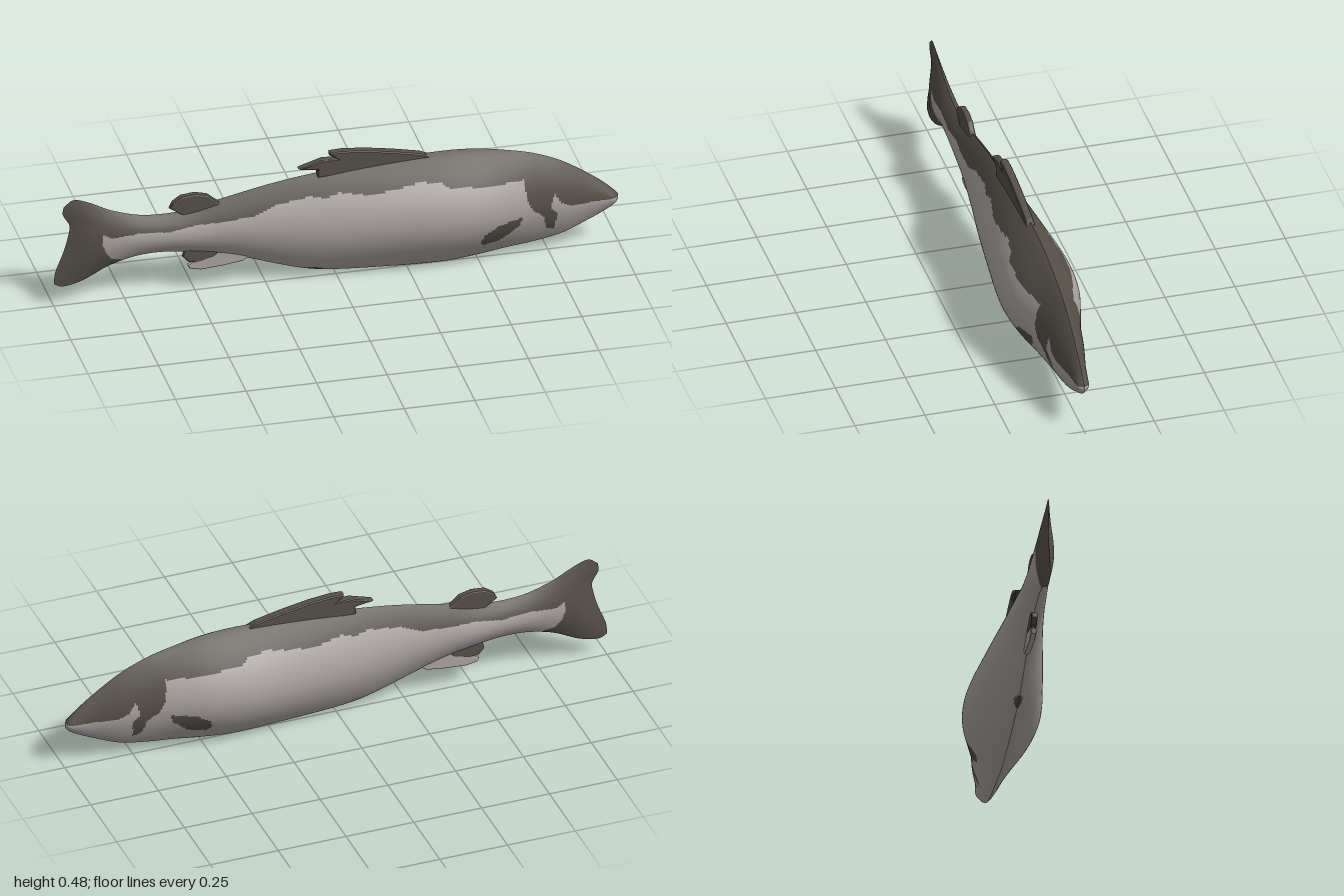
import * as THREE from 'three';

// Smooth curve through [x, value] points, with x rising
function curve(pts) {
  const slope = pts.map((p, i) => {
    const a = pts[Math.max(i - 1, 0)], b = pts[Math.min(i + 1, pts.length - 1)];
    return (b[1] - a[1]) / (b[0] - a[0]);
  });
  return x => {
    let i = 0;
    while (i < pts.length - 2 && x > pts[i + 1][0]) i++;
    const h = pts[i + 1][0] - pts[i][0];
    const t = THREE.MathUtils.clamp((x - pts[i][0]) / h, 0, 1), t2 = t * t, t3 = t2 * t;
    return pts[i][1] * (2 * t3 - 3 * t2 + 1) + pts[i + 1][1] * (3 * t2 - 2 * t3)
      + h * (slope[i] * (t3 - 2 * t2 + t) + slope[i + 1] * (t3 - t2));
  };
}

function inside(poly, x, y) {
  let hit = false;
  for (let i = 0, j = poly.length - 1; i < poly.length; j = i++) {
    const [xi, yi] = poly[i], [xj, yj] = poly[j];
    if ((yi > y) !== (yj > y) && x < (xj - xi) * (y - yi) / (yj - yi) + xi) hit = !hit;
  }
  return hit;
}

// Body outline from tail to snout
const back = curve([[-1, .385], [-.96, .408], [-.9, .395], [-.8, .353], [-.7, .322], [-.6, .315], [-.5, .325],
  [-.4, .35], [-.2, .39], [0, .415], [.2, .43], [.4, .435], [.5, .428], [.6, .41], [.7, .385], [.8, .342],
  [.9, .277], [.95, .238], [.985, .205], [1, .188]]);
const belly = curve([[-1, .088], [-.97, .075], [-.9, .09], [-.8, .138], [-.7, .163], [-.6, .165], [-.5, .15],
  [-.4, .13], [-.3, .1], [-.2, .065], [-.1, .035], [0, .02], [.2, .007], [.3, .003], [.4, .003], [.5, .013],
  [.6, .028], [.7, .04], [.8, .06], [.9, .103], [.95, .128], [.985, .15], [1, .168]]);
const halfWidth = curve([[-1, 0], [-.95, .015], [-.9, .027], [-.8, .034], [-.6, .041], [-.4, .052], [-.2, .07],
  [0, .095], [.2, .118], [.3, .129], [.4, .134], [.5, .125], [.6, .1], [.7, .073], [.8, .056], [.9, .034],
  [.96, .025], [.99, .018], [1, 0]]);
// Trailing edge of the tail, from its lower to its upper lobe
const tailEdge = curve([[0, -1], [.15, -.995], [.4, -.967], [.6, -.95], [.75, -.945], [.9, -.968], [1, -.965]]);

// Dark markings, as outlines on the side of the body
const markings = [
  // back and gill cover
  [[-.85, .6], [-.84, .28], [-.8, .258], [-.7, .267], [-.6, .26], [-.5, .275], [-.4, .28], [-.3, .292], [-.23, .32],
    [-.1, .342], [-.05, .333], [0, .347], [.1, .335], [.2, .345], [.28, .362], [.36, .352], [.38, .335], [.5, .327],
    [.58, .32], [.65, .317], [.66, .24], [.68, .2], [.72, .17], [.735, .11], [.765, .095], [.77, .17], [.745, .2],
    [.76, .25], [.785, .21], [.82, .19], [.98, .182], [1.1, .19], [1.1, .6]],
  // tail
  [[-1.1, 0], [-.76, 0], [-.76, .157], [-.8, .172], [-.82, .2], [-.835, .24], [-.83, .29], [-.83, .6], [-1.1, .6]],
  // pectoral fin
  [[.49, .1], [.5, .14], [.55, .172], [.64, .186], [.635, .155], [.6, .125], [.56, .095], [.51, .086]],
  // pelvic fin
  [[-.12, 0], [-.115, .04], [-.08, .047], [-.05, .04], [-.035, 0]],
];

// One half of the body, lofted from snout to tail and split by colour
function bodySide(sign, materials) {
  const NX = 320, NY = 60, pos = [], groups = [[], []];
  for (let i = 0; i <= NX; i++) {
    const s = -Math.cos(Math.PI * i / NX) * .25 + (2 * i / NX - 1) * .75;
    const lo = belly(s), hi = back(s), w = Math.max(halfWidth(s), 0);
    for (let j = 0; j <= NY; j++) {
      const t = j / NY;
      const x = s < -.8 ? -.8 + (s + .8) / .2 * (-.8 - tailEdge(t)) : s;
      pos.push(x, lo + (hi - lo) * t, sign * w * Math.pow(Math.max(Math.sin(Math.PI * t), 0), .85));
    }
  }
  for (let i = 0; i < NX; i++) for (let j = 0; j < NY; j++) {
    const a = i * (NY + 1) + j, b = a + NY + 1, c = b + 1, d = a + 1;
    const x = (pos[a * 3] + pos[c * 3]) / 2, y = (pos[a * 3 + 1] + pos[c * 3 + 1]) / 2;
    const g = groups[markings.some(m => inside(m, x, y)) ? 0 : 1];
    if (sign > 0) g.push(a, b, c, a, c, d);
    else g.push(a, c, b, a, d, c);
  }
  const geo = new THREE.BufferGeometry();
  geo.setAttribute('position', new THREE.Float32BufferAttribute(pos, 3));
  geo.setIndex([...groups[0], ...groups[1]]);
  geo.addGroup(0, groups[0].length, 0);
  geo.addGroup(groups[0].length, groups[1].length, 1);
  geo.computeVertexNormals();
  const mesh = new THREE.Mesh(geo, materials);
  mesh.name = sign > 0 ? 'bodyRightSide' : 'bodyLeftSide';
  return mesh;
}

// Thin fin with bevelled edges, centred on z = 0
function fin(name, pts, material, thick) {
  const shape = new THREE.Shape(pts.map(p => new THREE.Vector2(...p)));
  const geo = new THREE.ExtrudeGeometry(shape, {
    depth: thick * .3, bevelThickness: thick * .35, bevelSize: .006, bevelOffset: -.006, bevelSegments: 2,
  });
  geo.translate(0, 0, -thick * .15);
  const mesh = new THREE.Mesh(geo, material);
  mesh.name = name;
  return mesh;
}

export function createModel() {
  const dark = new THREE.MeshStandardMaterial({ color: 0x554f47 });
  dark.name = 'darkOlive';
  const pale = new THREE.MeshStandardMaterial({ color: 0xaaa3a1 });
  pale.name = 'paleSilver';

  const fish = new THREE.Group();
  fish.name = 'fish';
  for (const sign of [1, -1]) fish.add(bodySide(sign, [dark, pale]));

  fish.add(fin('dorsalFin', [[.34, .42], [.3, .441], [.2, .462], [.1, .479], [.02, .486], [-.025, .484], [-.025, .472],
    [.005, .456], [-.05, .46], [-.085, .449], [-.135, .432], [-.07, .422], [-.07, .39], [.2, .4]], dark, .03));
  fish.add(fin('adiposeFin', [[-.4, .33], [-.43, .35], [-.455, .372], [-.5, .383], [-.55, .378], [-.58, .358],
    [-.592, .335], [-.57, .32], [-.54, .3], [-.42, .3]], dark, .024));
  fish.add(fin('analFin', [[-.3, .12], [-.33, .098], [-.4, .088], [-.48, .082], [-.52, .09], [-.527, .105],
    [-.5, .122], [-.44, .135], [-.4, .16], [-.3, .14]], pale, .02));
  fish.add(fin('analFinTip', [[-.4, .17], [-.43, .128], [-.49, .112], [-.525, .118], [-.545, .14], [-.54, .16],
    [-.5, .18]], dark, .022));
  return fish;
}
